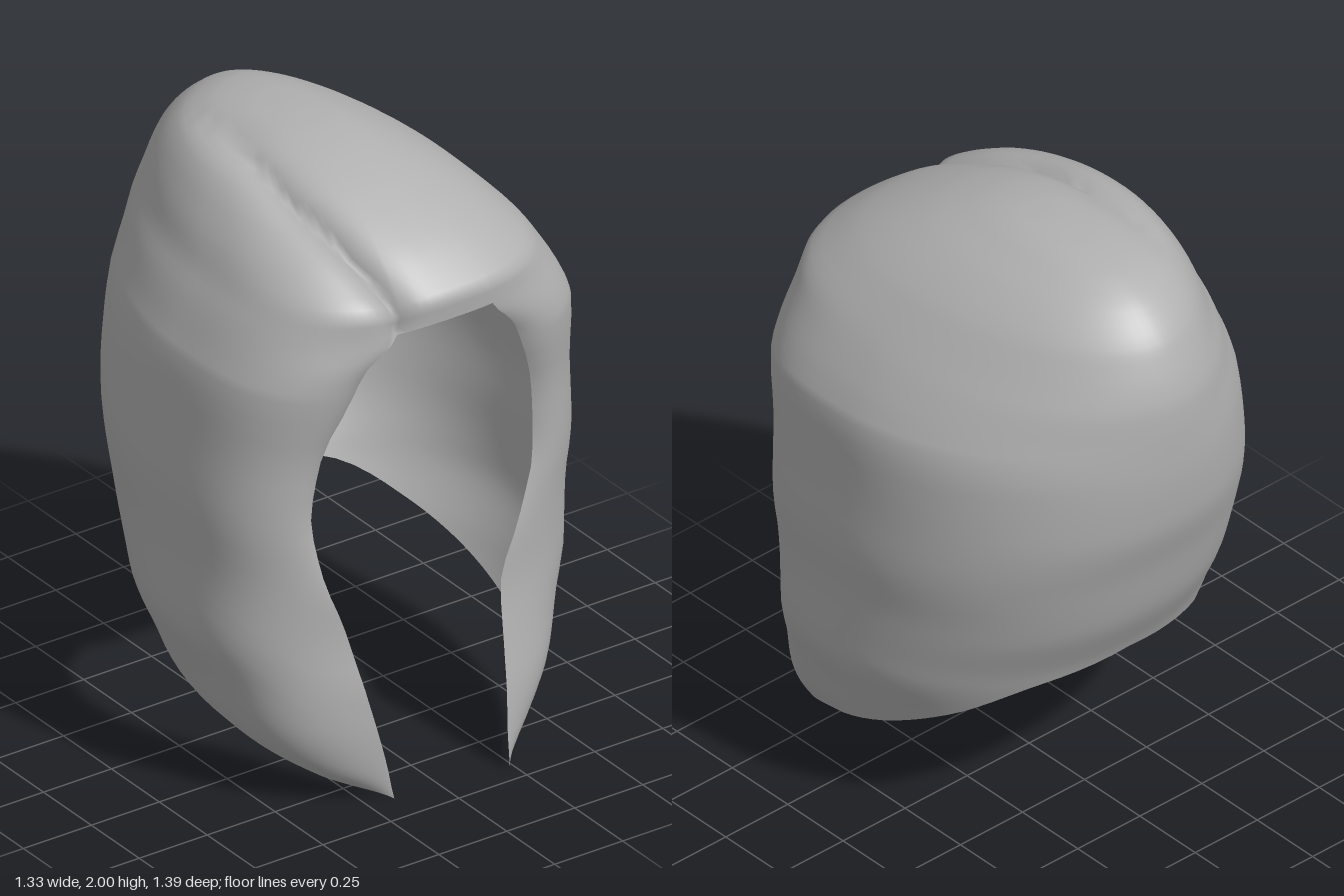
import * as THREE from 'three';

// Horizontal outlines: height, half-width +x, half-width -x, front z, back z, face opening +x, -x
const LEVELS = [
  [2.00, 0, 0, -0.1, -0.1, 0, 0],
  [1.99, 0.09, 0.15, 0.05, -0.28, 0.03, 0.045],
  [1.96, 0.17, 0.27, 0.20, -0.43, 0.05, 0.08],
  [1.91, 0.27, 0.36, 0.35, -0.53, 0.08, 0.10],
  [1.83, 0.38, 0.43, 0.52, -0.61, 0.11, 0.13],
  [1.77, 0.44, 0.47, 0.61, -0.64, 0.13, 0.14],
  [1.69, 0.51, 0.51, 0.69, -0.67, 0.15, 0.15],
  [1.62, 0.56, 0.55, 0.685, -0.685, 0.17, 0.16],
  [1.52, 0.62, 0.595, 0.68, -0.69, 0.26, 0.27],
  [1.43, 0.655, 0.63, 0.67, -0.69, 0.31, 0.30],
  [1.20, 0.66, 0.65, 0.615, -0.67, 0.39, 0.385],
  [1.00, 0.67, 0.665, 0.60, -0.61, 0.405, 0.41],
  [0.80, 0.655, 0.655, 0.595, -0.55, 0.345, 0.38],
  [0.60, 0.655, 0.66, 0.60, -0.45, 0.26, 0.31],
  [0.40, 0.60, 0.60, 0.63, -0.38, 0.25, 0.26],
  [0.25, 0.545, 0.545, 0.66, -0.34, 0.24, 0.22],
  [0.10, 0.43, 0.42, 0.68, -0.30, 0.23, 0.18],
  [0.00, 0.30, 0.24, 0.69, -0.28, 0.23, 0.16],
];
// Lower edge height, from the front locks (0) round to the nape (1)
const HEM = [[0, 0], [0.15, 0.05], [0.3, 0.15], [0.5, 0.29], [0.7, 0.45], [0.85, 0.57], [1, 0.61]];
// Parting line seen from above: z, x
const PARTING = [[-0.35, -0.22], [0.2, -0.265], [0.5, -0.22], [0.7, -0.165]];

const BROW = 1.62, SUB = 3, SIDE = 44, OPEN = 10;
const ramp = (v, from, to) => THREE.MathUtils.clamp((v - from) / (to - from), 0, 1);

// Smooth monotone lookup in a table sorted by its first column
function lookup(table, key) {
  const last = table.length - 1;
  const dir = Math.sign(table[last][0] - table[0][0]);
  let i = 0;
  while (i < last - 1 && (key - table[i + 1][0]) * dir > 0) i++;
  const a = table[i], b = table[i + 1], h = b[0] - a[0];
  const f = ramp(key, a[0], b[0]);
  const slope = (j, k) => (table[j + 1][k] - table[j][k]) / (table[j + 1][0] - table[j][0]);
  const tangent = (j, k) => {
    if (j === 0) return slope(0, k);
    if (j === last) return slope(last - 1, k);
    const p = slope(j - 1, k), q = slope(j, k);
    return p * q > 0 ? 2 * p * q / (p + q) : 0;
  };
  return a.map((v, k) => v + (b[k] - v) * f * f * (3 - 2 * f)
    + h * f * (1 - f) * ((1 - f) * tangent(i, k) - f * tangent(i + 1, k)));
}

// Point on the hair: level height, side (+1/-1), t from rim to nape, s = position inside the opening
function hairPoint(level, side, t, s) {
  const hem = lookup(HEM, t)[1];
  const y = level >= BROW ? level : BROW - (BROW - level) / BROW * (BROW - hem);
  const [, wL, wR, front, back, rimL, rimR] = lookup(LEVELS, y);
  const w = side > 0 ? wL : wR, rim = side > 0 ? rimL : rimR;
  // Fuller corners in front, rounder behind
  const n = 2.3 + 1.3 * ramp(y, 2, 1.15) - 0.7 * ramp(y, 0.9, 0.45);
  const nBack = 2.15 - 0.28 * ramp(y, 1.05, 1.55);
  const ratio = w > 0 ? rim / w : 0;
  const rimAngle = Math.asin(Math.pow(ratio, n / 2));
  const inner = level >= BROW ? Math.asin(Math.pow(ratio * s, n / 2)) : rimAngle;
  const phi = s < 1 ? inner : rimAngle + (Math.PI - rimAngle) * t;
  const zc = (front + back) / 2 + 0.09 * (front - back);
  const depth = (front - zc) / Math.pow(1 - Math.pow(ratio, n), 1 / n);
  const c = Math.cos(phi), sn = Math.max(0, Math.sin(phi));
  const p = new THREE.Vector3(0, y, zc);
  if (c >= 0) {
    p.x = side * w * Math.pow(sn, 2 / n);
    p.z += depth * Math.pow(c, 2 / n);
    // The -x lock ends a little further back
    if (side < 0) p.z -= 0.06 * c * ramp(y, 0.4, 0);
  } else {
    p.x = side * w * Math.pow(sn, 2 / nBack);
    p.z -= (zc - back) * Math.pow(-c, 2 / nBack);
  }
  // Rim rolls slightly inwards around the face
  p.z -= 0.04 * Math.exp(-t / 0.04) * ramp(y, 1.6, 1.45) * ramp(y, 0.7, 1);
  // Parting groove across the top, steeper on the -x side
  if (y > 1.5) {
    const dx = p.x - lookup(PARTING, p.z)[1];
    const fall = Math.exp(-Math.abs(dx) / (dx > 0 ? 0.055 : 0.035));
    const amount = 0.08 * ramp(p.z, -0.42, 0.3) * ramp(y, 1.5, 1.65) * fall;
    p.addScaledVector(new THREE.Vector3(0, 1.2, 0).sub(p).normalize(), amount);
  }
  return p;
}

function hairGeometry() {
  // Row heights, subdivided between the levels
  const rows = [];
  for (let i = 0; i < LEVELS.length - 1; i++)
    for (let k = 0; k < SUB; k++) rows.push(THREE.MathUtils.lerp(LEVELS[i][0], LEVELS[i + 1][0], k / SUB));
  rows.push(0);
  const browRow = rows.findIndex((y) => y <= BROW + 1e-6);

  // Columns run from the nape round the -x side, over the front, and back round the +x side
  const cols = [];
  for (let k = SIDE; k >= 0; k--) cols.push([-1, Math.pow(k / SIDE, 1.3), 1]);
  for (let k = 1; k < OPEN; k++) {
    const s = -1 + 2 * k / OPEN;
    cols.push([s < 0 ? -1 : 1, 0, Math.abs(s)]);
  }
  for (let k = 0; k < SIDE; k++) cols.push([1, Math.pow(k / SIDE, 1.3), 1]);

  const N = cols.length, pos = [], index = [];
  for (const y of rows) for (const [side, t, s] of cols) pos.push(...hairPoint(y, side, t, s).toArray());
  const id = (j, k) => (j === 0 ? 0 : j * N + (k % N));
  for (let j = 0; j < rows.length - 1; j++) {
    for (let k = 0; k < N; k++) {
      // Leave the face open below the brow
      if (j >= browRow && k >= SIDE && k < SIDE + OPEN) continue;
      const a = id(j, k), b = id(j + 1, k), c = id(j + 1, k + 1), d = id(j, k + 1);
      index.push(a, b, c);
      if (j > 0) index.push(a, c, d);
    }
  }
  const g = new THREE.BufferGeometry();
  g.setAttribute('position', new THREE.Float32BufferAttribute(pos, 3));
  g.setIndex(index);
  g.computeVertexNormals();
  return g;
}

export function createModel() {
  const grey = new THREE.MeshStandardMaterial({ color: 0xb0b0b0, side: THREE.DoubleSide });
  grey.name = 'hair grey';
  const hair = new THREE.Mesh(hairGeometry(), grey);
  hair.name = 'bobbedHair';
  const group = new THREE.Group();
  group.name = 'hairstyle';
  group.add(hair);
  return group;
}
